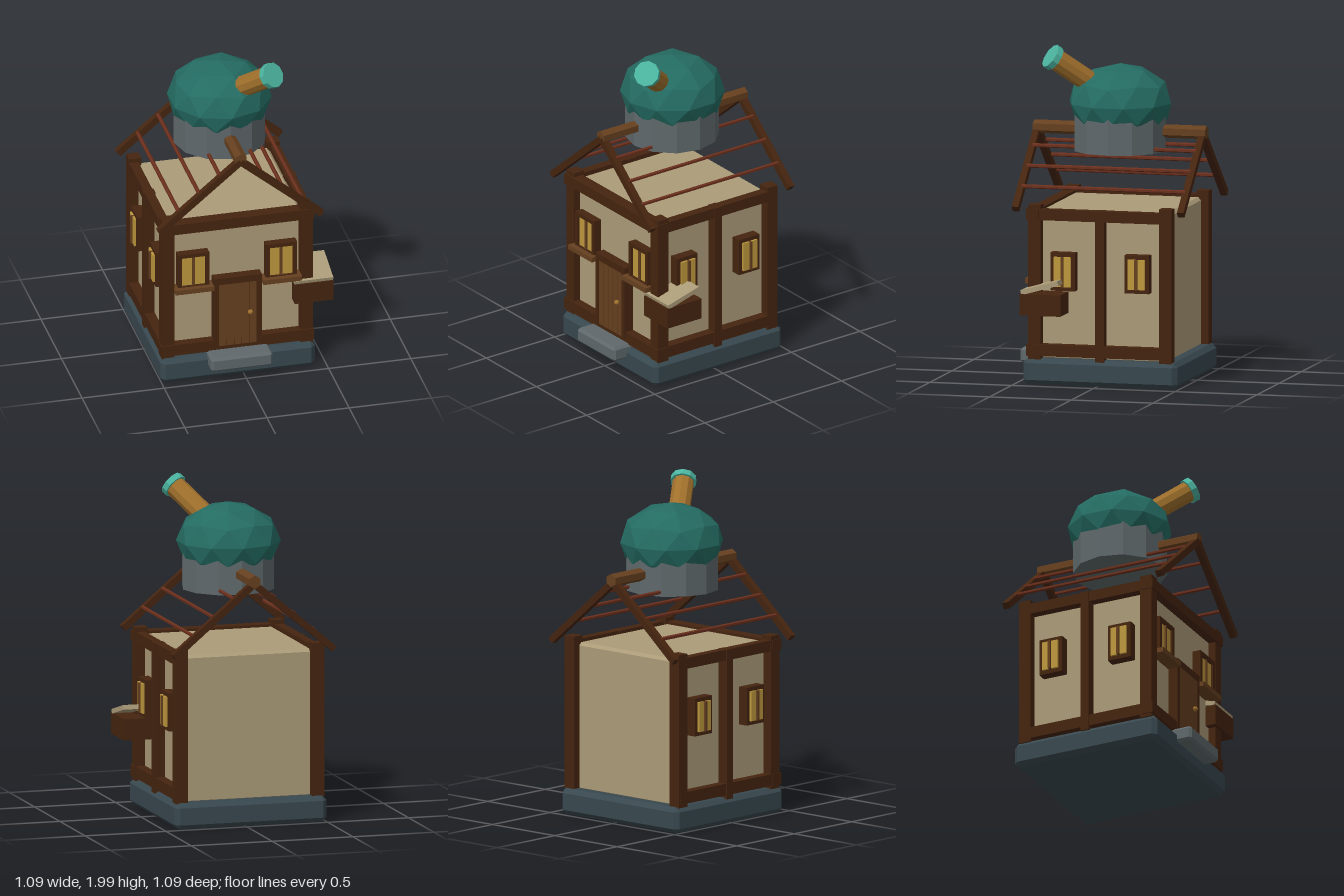
import * as THREE from 'three';
import { ConvexGeometry } from 'three/addons/geometries/ConvexGeometry.js';

const mat = (name, color) => {
  const m = new THREE.MeshStandardMaterial({ color });
  m.name = name;
  return m;
};

// Faceted normals for every part
function flat(geo) {
  const g = geo.index ? geo.toNonIndexed() : geo;
  g.computeVertexNormals();
  return g;
}

// Box with chamfered edges
function chamferBox(w, h, d, c) {
  const pts = [];
  for (const x of [-1, 1]) for (const y of [-1, 1]) for (const z of [-1, 1]) {
    const a = x * w / 2, b = y * h / 2, e = z * d / 2;
    pts.push(
      new THREE.Vector3(a, b - y * c, e - z * c),
      new THREE.Vector3(a - x * c, b, e - z * c),
      new THREE.Vector3(a - x * c, b - y * c, e));
  }
  return new ConvexGeometry(pts);
}

export function createModel() {
  const plaster = mat('plaster', 0xab9b78);
  const darkWood = mat('dark wood', 0x45240f);
  const midWood = mat('medium wood', 0x66401f);
  const slate = mat('slate', 0x38484f);
  const stone = mat('grey stone', 0x5f686b);
  const domeTeal = mat('dome teal', 0x246b62);
  const capTeal = mat('lens teal', 0x4bb39f);
  const gold = mat('window gold', 0xbe983d);
  const brass = mat('brass', 0xa0702c);
  const redWood = mat('red wood', 0x6b2f1c);

  const model = new THREE.Group();
  model.name = 'observatoryHouse';
  const house = new THREE.Group();
  house.name = 'house';
  house.position.set(-0.035, 0, -0.018);
  model.add(house);

  const add = (name, geo, material, x, y, z, parent = house) => {
    const m = new THREE.Mesh(flat(geo), material);
    m.name = name;
    m.position.set(x, y, z);
    parent.add(m);
    return m;
  };
  const box = (name, material, w, h, d, x, y, z, parent) =>
    add(name, new THREE.BoxGeometry(w, h, d), material, x, y, z, parent);

  // Foundation, doorstep and plaster walls
  add('foundation', chamferBox(0.94, 0.155, 0.94, 0.027), slate, 0, 0.0775, 0);
  add('doorstep', chamferBox(0.375, 0.09, 0.16, 0.015), stone, 0, 0.132, 0.482);
  add('walls', chamferBox(0.8, 0.89, 0.785, 0.018), plaster, 0, 0.585, 0);

  // Timber frame: corner posts, side posts and beams (the back is left plain)
  for (const s of [-1, 1]) {
    for (const t of [-1, 1]) box('cornerPost', darkWood, 0.075, 0.92, 0.075, s * 0.421, 0.61, t * 0.4);
    box('sidePost', darkWood, 0.07, 0.9, 0.053, s * 0.43, 0.595, 0);
    box('sideTopBeam', darkWood, 0.056, 0.065, 0.87, s * 0.43, 1.0125, 0.01);
    box('sideBottomBeam', darkWood, 0.06, 0.07, 0.87, s * 0.43, 0.205, 0.01);
  }
  box('frontTopBeam', darkWood, 0.93, 0.065, 0.075, 0, 1.0125, 0.41);
  box('frontBottomBeam', darkWood, 0.93, 0.07, 0.075, 0, 0.205, 0.41);

  // Window facing +z with its wall at local z = 0
  function makeWindow(w, h, frameOut, paneOut, mullionOut) {
    const g = new THREE.Group();
    g.name = 'window';
    const f = 0.024, m = 0.016, pw = (w - 2 * f - m) / 2;
    for (const s of [-1, 1]) {
      box('frameSide', darkWood, f, h, frameOut, s * (w - f) / 2, 0, frameOut / 2, g);
      box('frameRail', darkWood, w, f, frameOut, 0, s * (h - f) / 2, frameOut / 2, g);
      box('pane', gold, pw, h - 2 * f, paneOut, s * (pw + m) / 2, 0, paneOut / 2, g);
    }
    box('mullion', midWood, m, h - 2 * f, mullionOut, 0, 0, mullionOut / 2, g);
    house.add(g);
    return g;
  }
  for (const s of [-1, 1]) {
    makeWindow(0.19, 0.238, 0.055, 0.04, 0.05).position.set(s * 0.267, 0.719, 0.39);
    box('windowSill', midWood, 0.235, 0.03, 0.085, s * 0.267, 0.605, 0.435);
    for (const t of [-1, 1]) {
      const w = makeWindow(0.15, 0.227, 0.062, 0.075, 0.085);
      w.position.set(s * 0.4, 0.677, t * 0.226);
      w.rotation.y = s * Math.PI / 2;
    }
  }

  // Door with five planks, frame and knob
  for (const s of [-1, 1]) box('doorJamb', darkWood, 0.031, 0.453, 0.07, s * 0.13, 0.4265, 0.418);
  box('doorLintel', darkWood, 0.292, 0.042, 0.07, 0, 0.632, 0.418);
  box('doorBack', darkWood, 0.23, 0.415, 0.057, 0, 0.405, 0.415);
  for (let i = -2; i <= 2; i++) box('doorPlank', midWood, 0.042, 0.41, 0.008, i * 0.046, 0.405, 0.447);
  add('doorKnob', new THREE.IcosahedronGeometry(0.016, 1), brass, 0.075, 0.41, 0.459);

  // Storage crate with a tilted lid at the front corner
  box('crate', darkWood, 0.235, 0.127, 0.25, 0.4625, 0.4895, 0.333);
  box('crateLid', plaster, 0.235, 0.028, 0.235, 0.4625, 0.592, 0.337).rotation.x = 0.27;

  // Open roof: rafters at both gables, rods between them and a hexagonal ridge
  const slope = Math.atan2(0.41, 0.49);
  for (const s of [-1, 1]) {
    for (const t of [-1, 1])
      box('rafter', darkWood, 0.645, 0.04, 0.04, s * 0.247, 1.253, t * 0.505).rotation.z = -s * slope;
    for (let i = 1; i <= 3; i++) {
      const rod = new THREE.CylinderGeometry(0.012, 0.012, 1.0, 6).rotateX(Math.PI / 2);
      add('roofRod', rod, redWood, s * i * 0.1245, 1.483 - i * 0.1055, 0);
    }
  }
  add('ridgeBeam', new THREE.CylinderGeometry(0.04, 0.04, 1.055, 6).rotateX(Math.PI / 2), midWood, 0, 1.473, -0.003);

  // Observatory drum and squashed faceted dome with a vertex at the pole
  add('drum', new THREE.CylinderGeometry(0.278, 0.278, 0.248, 12), stone, 0, 1.476, 0);
  const dome = new THREE.IcosahedronGeometry(0.31, 1)
    .rotateX(-Math.atan((1 + Math.sqrt(5)) / 2)).rotateY(Math.PI / 2).scale(1, 0.75, 1);
  add('dome', dome, domeTeal, 0, 1.635, -0.003);

  // Telescope along its own +y axis, with the lens at the origin
  const scope = new THREE.Group();
  scope.name = 'telescope';
  scope.position.set(0.238, 1.93, 0.361);
  scope.quaternion.setFromUnitVectors(new THREE.Vector3(0, 1, 0), new THREE.Vector3(0.48, 0.56, 0.67).normalize());
  add('barrel', new THREE.CylinderGeometry(0.064, 0.064, 0.36, 10), brass, 0, -0.2, 0, scope);
  add('lensCap', new THREE.CylinderGeometry(0.077, 0.077, 0.038, 10), capTeal, 0, -0.019, 0, scope);
  house.add(scope);

  return model;
}
